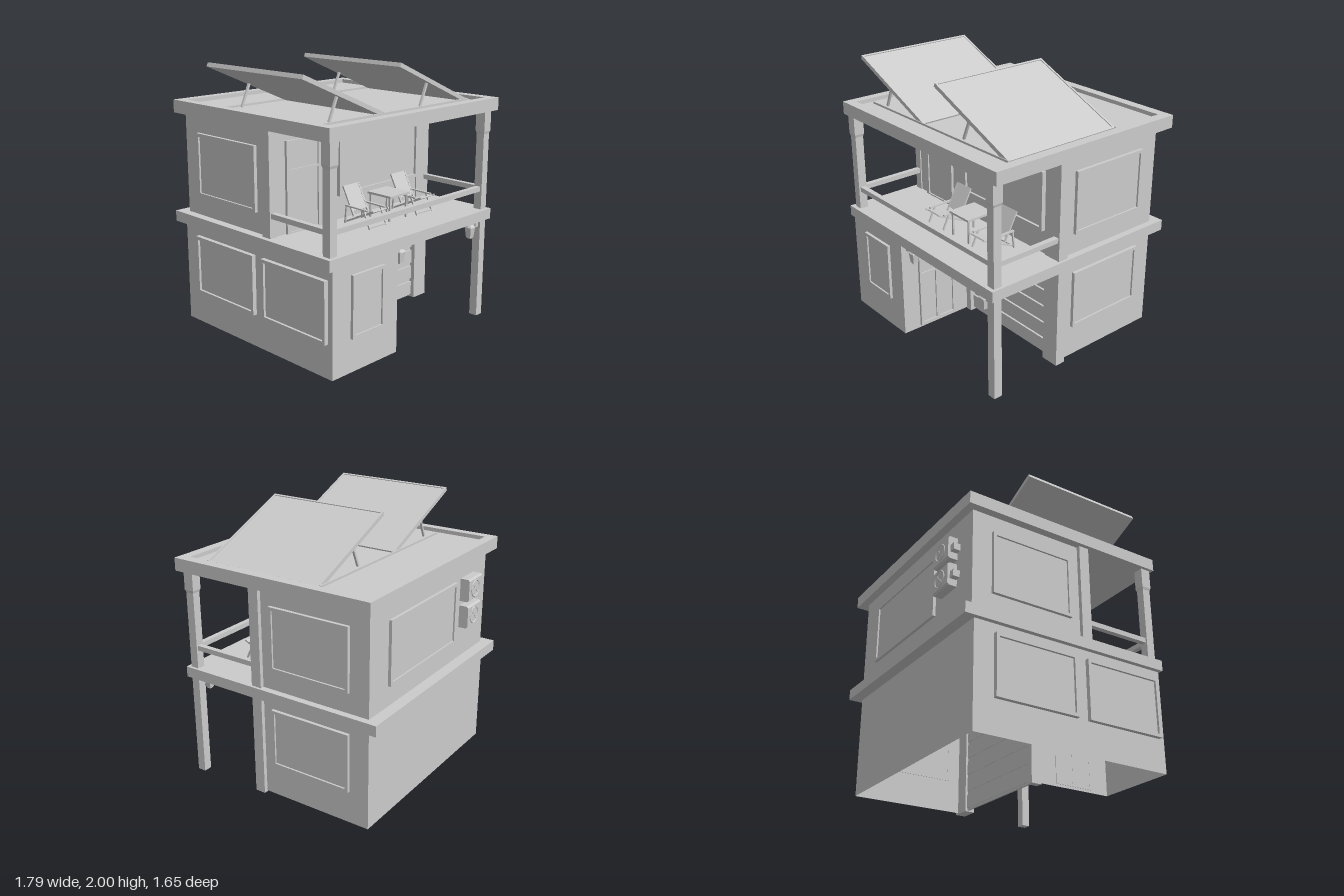
import * as THREE from 'three';

const mat = new THREE.MeshStandardMaterial({ color: 0xcccccc, flatShading: true, side: THREE.DoubleSide });

function add(parent, name, geo) {
  const m = new THREE.Mesh(geo, mat);
  m.name = name;
  parent.add(m);
  return m;
}

// Box given by its extents
function box(parent, name, x0, x1, y0, y1, z0, z1) {
  const m = add(parent, name, new THREE.BoxGeometry(x1 - x0, y1 - y0, z1 - z0));
  m.position.set((x0 + x1) / 2, (y0 + y1) / 2, (z0 + z1) / 2);
  return m;
}

// Square or flat bar between two points
function bar(parent, name, a, b, w, d = w) {
  const p = new THREE.Vector3(...a), q = new THREE.Vector3(...b);
  const dir = q.clone().sub(p);
  const m = add(parent, name, new THREE.BoxGeometry(w, dir.length(), d));
  m.position.copy(p).add(q).multiplyScalar(0.5);
  m.quaternion.setFromUnitVectors(new THREE.Vector3(0, 1, 0), dir.normalize());
  return m;
}

// Thin upright wall sheet between two plan points
function wall(parent, name, x0, z0, x1, z1, y0, y1) {
  const m = add(parent, name, new THREE.PlaneGeometry(Math.hypot(x1 - x0, z1 - z0), y1 - y0));
  m.position.set((x0 + x1) / 2, (y0 + y1) / 2, (z0 + z1) / 2);
  m.rotation.y = -Math.atan2(z1 - z0, x1 - x0);
  return m;
}

// Rectangle with rectangular holes [x0, x1, y0, y1], extruded along z
function frameGeo(w, h, depth, holes) {
  const s = new THREE.Shape();
  const rect = (p, x0, x1, y0, y1) => p.moveTo(x0, y0).lineTo(x1, y0).lineTo(x1, y1).lineTo(x0, y1).closePath();
  rect(s, -w / 2, w / 2, -h / 2, h / 2);
  for (const o of holes) s.holes.push(rect(new THREE.Path(), ...o));
  return new THREE.ExtrudeGeometry(s, { depth, bevelEnabled: false });
}

// Framed opening on a wall; turn points its face outwards
function opening(parent, name, w, h, pos, turn, depth, holes) {
  const g = new THREE.Group();
  g.name = name;
  const t = 0.024;
  holes = holes || [[-w / 2 + t, w / 2 - t, -h / 2 + t, h / 2 - t]];
  add(g, 'frame', frameGeo(w, h, depth + 0.004, holes)).position.z = -0.004;
  box(g, 'pane', -w / 2 + 0.01, w / 2 - 0.01, -h / 2 + 0.01, h / 2 - 0.01, -0.003, depth * 0.45);
  g.position.set(...pos);
  g.rotation.y = turn;
  parent.add(g);
}

function lantern(parent, x, z, side) {
  const g = new THREE.Group();
  g.name = 'lantern';
  box(g, 'arm', -0.05, 0.075, 0.095, 0.11, -0.012, 0.012);
  box(g, 'bracket', 0.04, 0.075, 0.08, 0.12, -0.02, 0.02);
  const body = add(g, 'lampBody', new THREE.CylinderGeometry(0.04, 0.028, 0.08, 4));
  body.position.y = 0.05;
  body.rotation.y = Math.PI / 4;
  const cap = add(g, 'lampCap', new THREE.CylinderGeometry(0.02, 0.045, 0.018, 4));
  cap.position.y = 0.095;
  cap.rotation.y = Math.PI / 4;
  box(g, 'lampBase', -0.016, 0.016, 0, 0.012, -0.016, 0.016);
  g.position.set(x, 0.64, z);
  g.scale.x = side;
  parent.add(g);
}

function deckChair(parent, cx) {
  const g = new THREE.Group();
  g.name = 'deckChair';
  const w = 0.075;
  for (const s of [-w, w]) {
    bar(g, 'backRail', [s, 0.92, 0.38], [s, 1.12, 0.275], 0.012);
    bar(g, 'seatRail', [s, 0.99, 0.57], [s, 0.865, 0.3], 0.012);
    bar(g, 'frontLeg', [s * 1.15, 0.858, 0.545], [s * 1.15, 0.99, 0.48], 0.012);
    bar(g, 'rearLeg', [s * 1.15, 0.858, 0.305], [s * 1.15, 0.99, 0.32], 0.012);
    bar(g, 'armrest', [s * 1.15, 0.985, 0.53], [s * 1.15, 0.99, 0.31], 0.018, 0.01);
  }
  bar(g, 'backrest', [0, 0.95, 0.362], [0, 1.12, 0.272], 0.15, 0.012);
  bar(g, 'seat', [0, 0.985, 0.56], [0, 0.915, 0.4], 0.15, 0.01);
  for (const z of [0.305, 0.54]) box(g, 'crossBar', -0.086, 0.086, 0.862, 0.872, z - 0.006, z + 0.006);
  g.position.x = cx;
  parent.add(g);
}

function solarPanel(parent, dx) {
  const g = new THREE.Group();
  g.name = 'solarPanel';
  const tilt = new THREE.Group();
  tilt.name = 'tiltedPanel';
  box(tilt, 'plate', -0.405, 0.405, -0.015, 0.009, -0.47, 0.47);
  const rim = add(tilt, 'rim', frameGeo(0.82, 0.95, 0.03, [[-0.395, 0.395, -0.46, 0.46]]));
  rim.rotation.x = -Math.PI / 2;
  rim.position.y = -0.015;
  tilt.position.set(-0.513, 1.824, 0.135);
  tilt.rotation.z = -0.407;
  g.add(tilt);
  for (const z of [-0.3, 0.57]) bar(g, 'strut', [-0.63, 1.67, z], [-0.56, 1.83, z], 0.016);
  g.position.x = dx;
  parent.add(g);
}

function airConditioner(parent, y) {
  const g = new THREE.Group();
  g.name = 'airConditioner';
  // Housing with chamfered outer edges
  const s = new THREE.Shape([[0, 0], [0.06, 0], [0.073, 0.012], [0.073, 0.158], [0.06, 0.17], [0, 0.17]]
    .map(p => new THREE.Vector2(...p)));
  const h = add(g, 'housing', new THREE.ExtrudeGeometry(s, { depth: 0.2, bevelEnabled: false }));
  h.rotation.y = Math.PI / 2;
  h.position.set(-0.605, y, -0.74);
  const ring = add(g, 'fanRing', new THREE.TorusGeometry(0.06, 0.005, 4, 24));
  ring.position.set(-0.5, y + 0.085, -0.814);
  for (let i = 0; i < 2; i++) {
    const blade = add(g, 'fanBar', new THREE.BoxGeometry(0.12, 0.005, 0.005));
    blade.position.copy(ring.position);
    blade.rotation.z = Math.PI / 4 + i * Math.PI / 2;
  }
  box(g, 'connector', -0.65, -0.605, y + 0.05, y + 0.1, -0.795, -0.745);
  parent.add(g);
}

export function createModel() {
  const model = new THREE.Group();
  model.name = 'house';
  const P = Math.PI / 2;

  // Ground floor walls around an L-shaped plan, open underneath
  const plan = [[0.8, 0.18], [0.8, -0.74], [-0.83, -0.74], [-0.83, 0.8], [-0.2, 0.8], [-0.2, 0.17]];
  for (let i = 0; i < plan.length - 1; i++) wall(model, 'lowerWall', ...plan[i], ...plan[i + 1], 0.02, 0.78);

  // Garage front
  box(model, 'garagePillar', 0.69, 0.83, 0.012, 0.78, 0.13, 0.21);
  box(model, 'garageJamb', -0.2, -0.15, 0.012, 0.78, 0.13, 0.21);
  box(model, 'garageLintel', -0.15, 0.69, 0.69, 0.78, 0.13, 0.21);
  box(model, 'garageDoor', -0.15, 0.69, 0.02, 0.69, 0.15, 0.165);
  for (let i = 0; i < 5; i++) {
    const y = 0.037 + i * 0.134;
    box(model, 'garageSlat', -0.15, 0.69, y, y + 0.106, 0.145, 0.18);
  }

  // Slab between the floors
  box(model, 'floorSlab', -0.865, 0.85, 0.775, 0.855, -0.825, 0.81);

  // Upper walls with corner pillars
  const upper = [[-0.8, 0.2], [-0.8, -0.74], [0.8, -0.74], [0.8, 0.2], [-0.8, 0.2]];
  for (let i = 0; i < 4; i++) wall(model, 'upperWall', ...upper[i], ...upper[i + 1], 0.85, 1.61);
  box(model, 'leftUpperPillar', 0.69, 0.83, 0.85, 1.61, 0.13, 0.21);
  box(model, 'rightUpperPillar', -0.83, -0.77, 0.85, 1.61, 0.13, 0.21);

  // Posts, capitals and railings of the balcony
  box(model, 'lowerPost', 0.765, 0.83, 0, 0.78, 0.715, 0.78);
  for (const s of [-1, 1]) {
    const x = 0.798 * s;
    box(model, 'balconyPost', x - 0.032, x + 0.032, 0.85, 1.61, 0.715, 0.78);
    box(model, 'postCapital', x - 0.038, x + 0.038, 1.45, 1.61, 0.708, 0.787);
    const neck = add(model, 'capitalTaper', new THREE.CylinderGeometry(0.054, 0.046, 0.02, 4));
    neck.rotation.y = Math.PI / 4;
    neck.position.set(x, 1.44, 0.7475);
    box(model, 'sideRail', x - 0.02, x + 0.02, 0.993, 1.03, 0.2, 0.72);
  }
  box(model, 'frontRail', -0.77, 0.77, 0.993, 1.03, 0.727, 0.767);

  // Windows
  opening(model, 'frontWindow', 0.31, 0.445, [-0.505, 0.485, 0.8], 0, 0.022);
  opening(model, 'balconyWindow', 0.86, 0.435, [0.245, 1.25, 0.2], 0, 0.033);
  opening(model, 'backWindow', 0.9, 0.465, [0.125, 1.238, -0.74], 2 * P, 0.022);
  opening(model, 'leftLowerWindow', 0.64, 0.44, [0.8, 0.485, -0.27], P, 0.025);
  opening(model, 'leftUpperWindow', 0.64, 0.465, [0.8, 1.238, -0.27], P, 0.025);
  opening(model, 'rightLowerWindow', 0.64, 0.44, [-0.83, 0.485, -0.27], -P, 0.032);
  opening(model, 'rightFrontWindow', 0.62, 0.44, [-0.83, 0.485, 0.45], -P, 0.032);
  opening(model, 'rightUpperWindow', 0.64, 0.465, [-0.8, 1.238, -0.27], -P, 0.025);

  // Doors with panels
  opening(model, 'entranceDoor', 0.32, 0.65, [-0.2, 0.365, 0.5], P, 0.02,
    [[-0.14, -0.015, -0.3, 0.105], [0.015, 0.14, -0.3, 0.105], [-0.14, -0.015, 0.125, 0.305], [0.015, 0.14, 0.125, 0.305]]);
  opening(model, 'balconyDoor', 0.33, 0.65, [-0.515, 1.18, 0.2], 0, 0.02,
    [[-0.135, 0.13, -0.315, 0.11], [-0.135, 0.13, 0.125, 0.31]]);

  // Roof slab with a recessed top
  box(model, 'roofSlab', -0.86, 0.892, 1.6, 1.665, -0.8, 0.808);
  const parapet = add(model, 'roofParapet', frameGeo(1.752, 1.608, 0.03, [[-0.81, 0.8, -0.729, 0.731]]));
  parapet.rotation.x = -P;
  parapet.position.set(0.016, 1.664, 0.004);

  // Rooftop solar panels and their floor rails
  for (const z of [-0.345, 0.61]) box(model, 'roofRail', -0.75, 0.775, 1.66, 1.68, z - 0.006, z + 0.006);
  solarPanel(model, 0);
  solarPanel(model, 0.903);

  for (const y of [1.1, 1.305]) airConditioner(model, y);
  lantern(model, -0.117, 0.745, -1);
  lantern(model, 0.688, 0.745, 1);

  // Balcony furniture
  deckChair(model, -0.12);
  deckChair(model, 0.39);
  box(model, 'tableTop', 0.028, 0.24, 1.03, 1.046, 0.3, 0.525);
  for (const x of [0.044, 0.224]) for (const z of [0.32, 0.505])
    box(model, 'tableLeg', x - 0.007, x + 0.007, 0.853, 1.03, z - 0.007, z + 0.007);

  return model;
}
